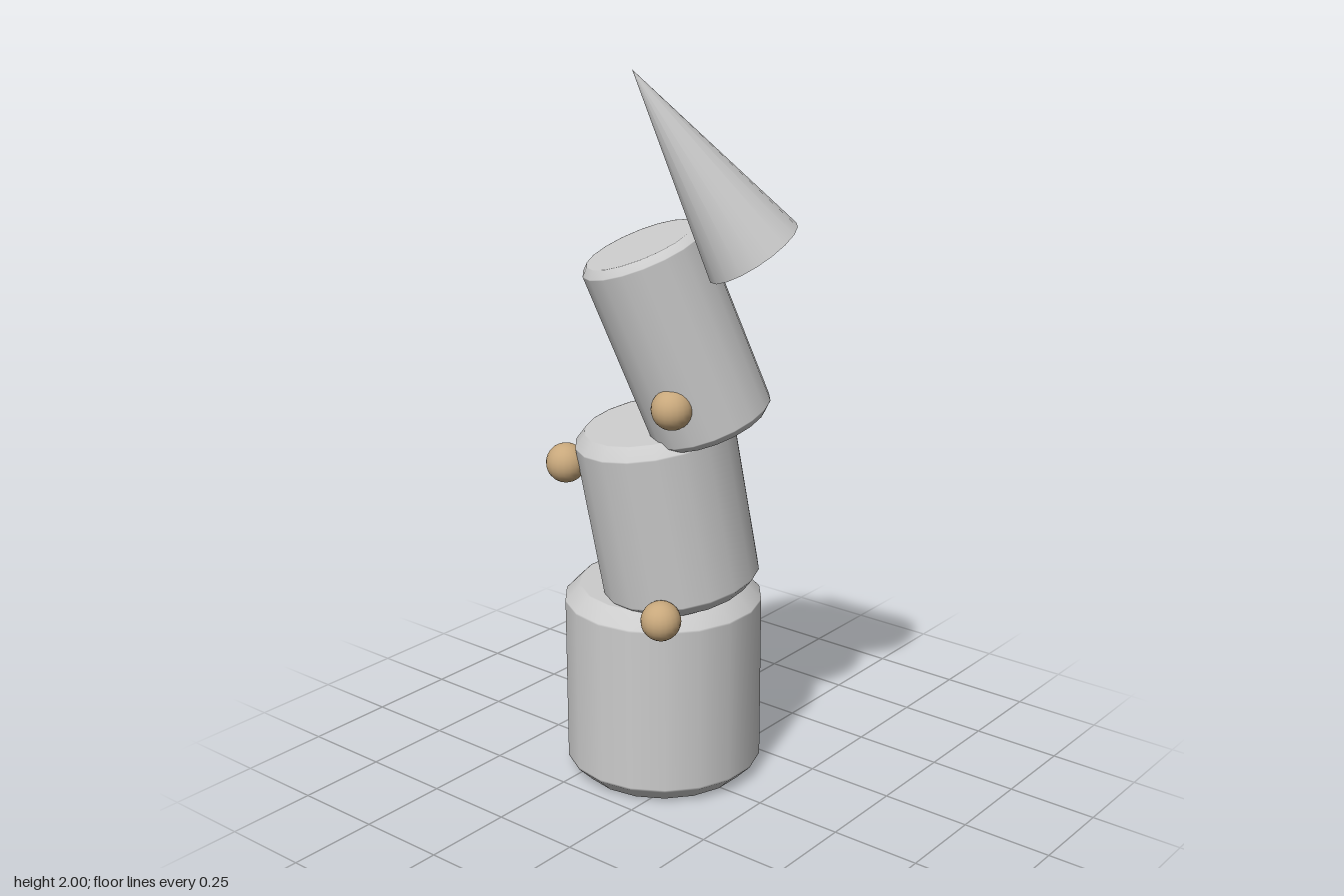
import * as THREE from 'three';

const SIDES = 18;
const UP = new THREE.Vector3(0, 1, 0);

// Stand a geometry built along +y from its base to its tip
function place(name, geometry, material, base, tip) {
  const mesh = new THREE.Mesh(geometry, material);
  mesh.name = name;
  mesh.position.copy(base);
  mesh.quaternion.setFromUnitVectors(UP, tip.clone().sub(base).normalize());
  return mesh;
}

// Cylinder with soft bevelled rims; the extra loops keep caps and wall flat
function bevelledCylinder(r, h, b) {
  const e = b * 0.15;
  const half = [[0, 0], [r - b - e, 0], [r - b, 0], [r, b], [r, b + e]];
  const profile = [...half, ...half.map(([x, y]) => [x, h - y]).reverse()];
  return new THREE.LatheGeometry(profile.map(([x, y]) => new THREE.Vector2(x, y)), SIDES);
}

export function createModel() {
  const model = new THREE.Group();
  model.name = 'stackedTower';
  const grey = new THREE.MeshStandardMaterial({ color: 0xcccccc });
  const tan = new THREE.MeshStandardMaterial({ color: 0xc8a87c });
  const v = (x, y, z) => new THREE.Vector3(x, y, z);

  // Three stacked drums, leaning more the higher they sit
  const drums = [
    ['baseDrum', 0.275, 0.04, v(-0.12, 0, -0.035), v(-0.12, 0.555, -0.035)],
    ['middleDrum', 0.217, 0.03, v(-0.043, 0.56, -0.028), v(-0.09, 1.045, 0.042)],
    ['upperDrum', 0.165, 0.018, v(0.09, 1.06, 0.008), v(-0.036, 1.545, 0.152)],
  ];
  for (const [name, r, bevel, base, tip] of drums) {
    model.add(place(name, bevelledCylinder(r, base.distanceTo(tip), bevel), grey, base, tip));
  }

  // Tilted cone beside the top drum
  const coneBase = v(0.272, 1.555, 0.088);
  const coneTip = v(0.07, 2.0, 0.3);
  const height = coneBase.distanceTo(coneTip);
  const cone = new THREE.ConeGeometry(0.128, height, SIDES).translate(0, height / 2, 0);
  model.add(place('topCone', cone, grey, coneBase, coneTip));

  // Small balls set against the drums
  const ball = new THREE.SphereGeometry(0.054, 20, 14);
  const spots = [
    ['lowerBall', 0.06, 0.557, 0.193],
    ['sideBall', -0.27, 0.927, 0.19],
    ['upperBall', 0.1, 1.147, 0.193],
  ];
  for (const [name, x, y, z] of spots) {
    const mesh = new THREE.Mesh(ball, tan);
    mesh.name = name;
    mesh.position.set(x, y, z);
    model.add(mesh);
  }
  return model;
}
